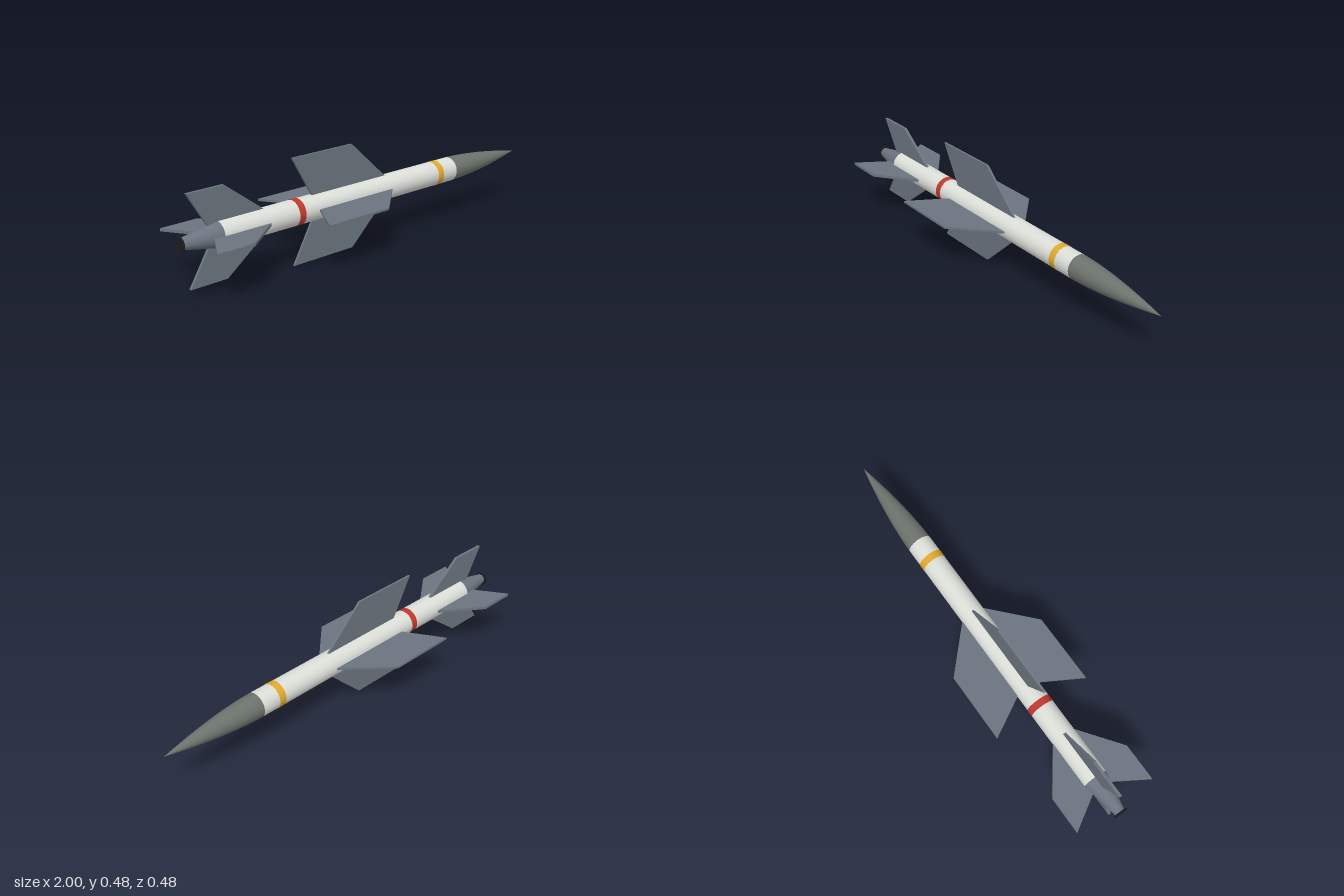
import * as THREE from 'three';

const AXIS_Y = 0.239;
const R = 0.057;

const material = (color) => new THREE.MeshStandardMaterial({ color });

export function createModel() {
  const model = new THREE.Group();
  const airframe = new THREE.Group();
  airframe.name = 'airframe';
  airframe.position.y = AXIS_Y;
  model.add(airframe);

  const light = material(0xdcded8);
  const noseGrey = material(0x6c726c);
  const slate = material(0x6b747f);
  const red = material(0xc0392f);
  const yellow = material(0xe0a92e);
  const black = material(0x1c1c1e);

  const add = (name, geometry, mat) => {
    const mesh = new THREE.Mesh(geometry, mat);
    mesh.name = name;
    airframe.add(mesh);
    return mesh;
  };

  // Round section along x, from x0 (radius r0) to x1 (radius r1)
  const section = (name, x0, x1, r0, r1, mat) => {
    const g = new THREE.CylinderGeometry(r1, r0, x1 - x0, 32);
    g.rotateZ(-Math.PI / 2);
    g.translate((x0 + x1) / 2, 0, 0);
    return add(name, g, mat);
  };

  section('body', -0.82, 0.52, R, R, light);
  section('tailCone', -0.995, -0.82, 0.023, R, slate);
  section('nozzle', -1, -0.994, 0.034, 0.034, black);
  section('redBand', -0.441, -0.409, R + 0.001, R + 0.001, red);
  section('yellowBand', 0.398, 0.432, R + 0.001, R + 0.001, yellow);

  // Pointed nose with a gentle bulge
  const profile = [];
  for (let i = 0; i <= 20; i++) {
    const t = i / 20;
    profile.push(new THREE.Vector2(R * (1 - t ** 1.7), 0.52 + 0.48 * t));
  }
  const nose = new THREE.LatheGeometry(profile, 32);
  nose.rotateZ(-Math.PI / 2);
  add('nose', nose, noseGrey);

  // Four swept fins around the body, outline given as [x, radius]
  const finSet = (name, outline, thickness) => {
    const shape = new THREE.Shape(outline.map(([x, r]) => new THREE.Vector2(x, r)));
    const g = new THREE.ExtrudeGeometry(shape, { depth: thickness, bevelEnabled: false });
    g.translate(0, 0, -thickness / 2);
    for (let i = 0; i < 4; i++) {
      add(name + (i + 1), g, slate).rotation.x = (i * Math.PI) / 2;
    }
  };
  finSet('wing', [[-0.33, 0.05], [0.1, 0.05], [-0.104, 0.239], [-0.437, 0.239]], 0.01);
  finSet('tailFin', [[-0.862, 0.038], [-0.585, 0.05], [-0.783, 0.199], [-0.96, 0.199]], 0.013);

  return model;
}
